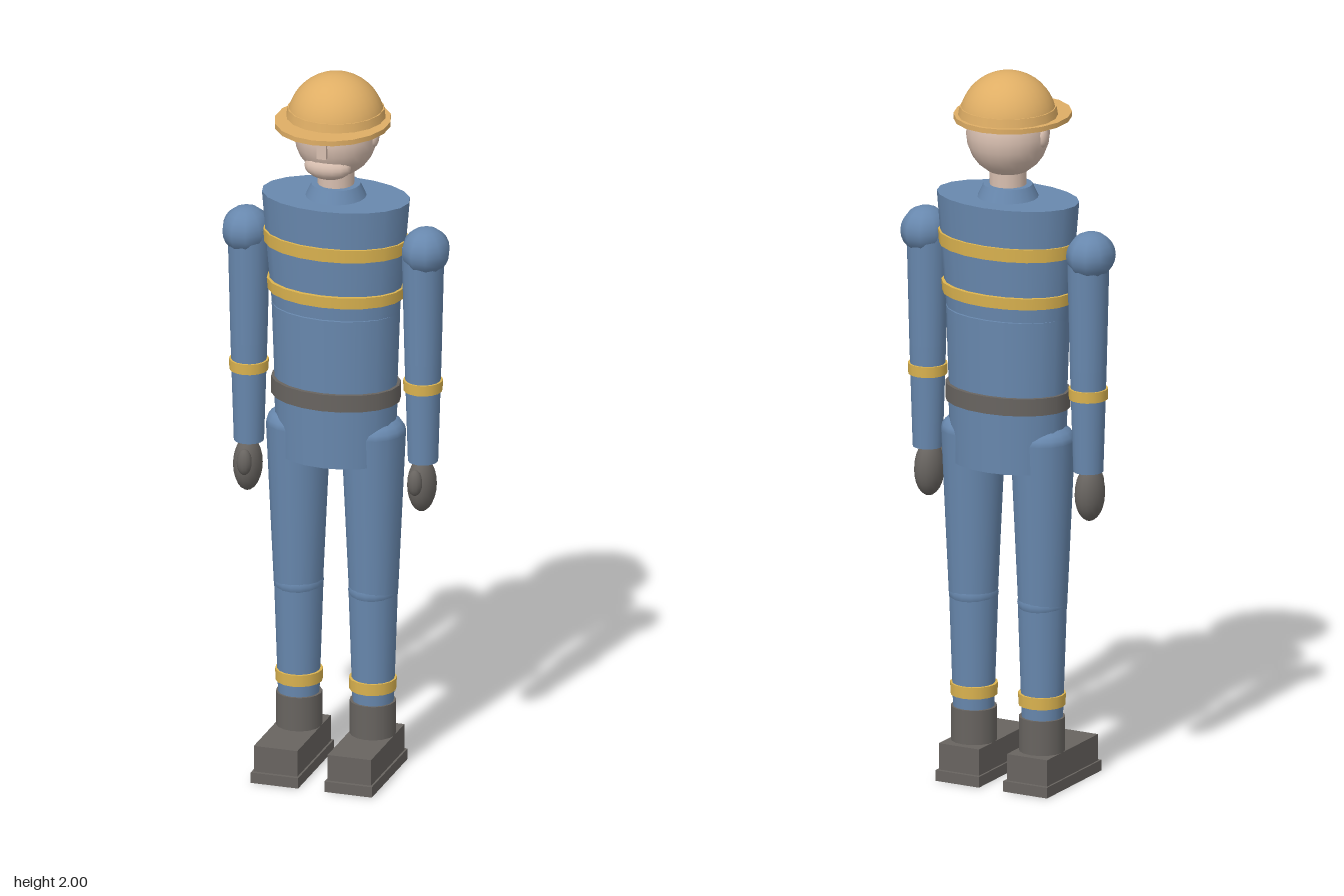
import * as THREE from 'three';

const mat = (name, color) => {
  const m = new THREE.MeshStandardMaterial({ color });
  m.name = name;
  return m;
};

export function createModel() {
  const model = new THREE.Group();
  model.name = 'firefighter';
  const blue = mat('uniformBlue', 0x6888ae);
  const yellow = mat('reflectiveYellow', 0xdcb450);
  const amber = mat('helmetAmber', 0xdfae65);
  const dark = mat('darkGrey', 0x686460);
  const skin = mat('skin', 0xd8bfb0);
  const Z = -0.033; // body axis

  const add = (name, geo, material, x, y, z) => {
    const mesh = new THREE.Mesh(geo, material);
    mesh.name = name;
    mesh.position.set(x, y, z);
    model.add(mesh);
    return mesh;
  };
  // Upright tapered tube from y0 to y1; depth is the z/x ratio
  const tube = (name, m, x, y0, y1, r0, r1, depth = 1, sides = 16, z = Z) =>
    add(name, new THREE.CylinderGeometry(r1, r0, y1 - y0, sides).scale(1, 1, depth), m, x, (y0 + y1) / 2, z);
  const ball = (name, m, x, y, z, rx, ry, rz, seg = 16) =>
    add(name, new THREE.SphereGeometry(1, seg, 12).scale(rx, ry, rz), m, x, y, z);
  const box = (name, m, x, y, z, w, h, d) => add(name, new THREE.BoxGeometry(w, h, d), m, x, y, z);

  // Jacket, stripes, belt and hips
  tube('chest', blue, 0, 1.29, 1.65, 0.176, 0.207, 0.655, 20);
  tube('abdomen', blue, 0, 1.08, 1.33, 0.17, 0.179, 0.7, 20);
  tube('upperStripe', yellow, 0, 1.505, 1.542, 0.2, 0.203, 0.675, 20);
  tube('lowerStripe', yellow, 0, 1.37, 1.402, 0.19, 0.193, 0.69, 20);
  tube('belt', dark, 0, 1.07, 1.118, 0.18, 0.18, 0.73, 20);
  tube('hips', blue, 0, 0.9, 1.09, 0.165, 0.172, 0.72, 20);

  // Collar, neck and head
  tube('collar', blue, 0, 1.645, 1.685, 0.085, 0.067, 1, 20);
  tube('neck', skin, 0, 1.66, 1.74, 0.05, 0.05);
  ball('head', skin, 0, 1.828, Z, 0.113, 0.118, 0.115, 24);
  ball('jaw', skin, 0, 1.757, 0.036, 0.066, 0.036, 0.042);
  box('nose', skin, 0, 1.82, 0.082, 0.026, 0.046, 0.02);

  // Helmet
  add('helmetDome', new THREE.SphereGeometry(0.132, 28, 12, 0, Math.PI * 2, 0, Math.PI / 2), amber, 0, 1.868, Z);
  tube('helmetBand', amber, 0, 1.875, 1.903, 0.136, 0.131, 1, 18);
  tube('helmetBrim', amber, 0, 1.865, 1.879, 0.157, 0.157, 1.09, 18, -0.007);

  for (const s of [1, -1]) {
    // Face details
    ball('ear', skin, s * 0.109, 1.83, Z, 0.013, 0.028, 0.019);
    box('eye', dark, s * 0.043, 1.848, 0.071, 0.014, 0.006, 0.008);

    // Arm
    const ax = s * 0.248;
    ball('shoulder', blue, s * 0.256, 1.519, Z, 0.066, 0.066, 0.072, 10);
    tube('upperArm', blue, ax, 1.2, 1.53, 0.05, 0.058);
    tube('forearm', blue, ax, 0.91, 1.2, 0.041, 0.05);
    tube('cuffStripe', yellow, ax, 1.115, 1.145, 0.053, 0.054);
    ball('hand', dark, ax, 0.845, -0.024, 0.039, 0.077, 0.05);
    ball('thumb', dark, s * 0.243, 0.864, 0.022, 0.021, 0.037, 0.02, 12);

    // Leg
    const lx = s * 0.107;
    ball('hipJoint', blue, lx, 0.98, Z, 0.088, 0.052, 0.088);
    tube('thigh', blue, lx, 0.52, 0.98, 0.067, 0.088);
    ball('knee', blue, s * 0.106, 0.52, Z, 0.068, 0.05, 0.069);
    tube('shin', blue, s * 0.106, 0.19, 0.52, 0.056, 0.067);
    tube('ankleStripe', yellow, s * 0.105, 0.233, 0.266, 0.064, 0.065);

    // Boot
    tube('bootShaft', dark, s * 0.105, 0.1, 0.2, 0.063, 0.063);
    box('boot', dark, s * 0.105, 0.066, 0.025, 0.124, 0.076, 0.283);
    box('sole', dark, s * 0.105, 0.015, 0.025, 0.135, 0.03, 0.304);
  }
  return model;
}
